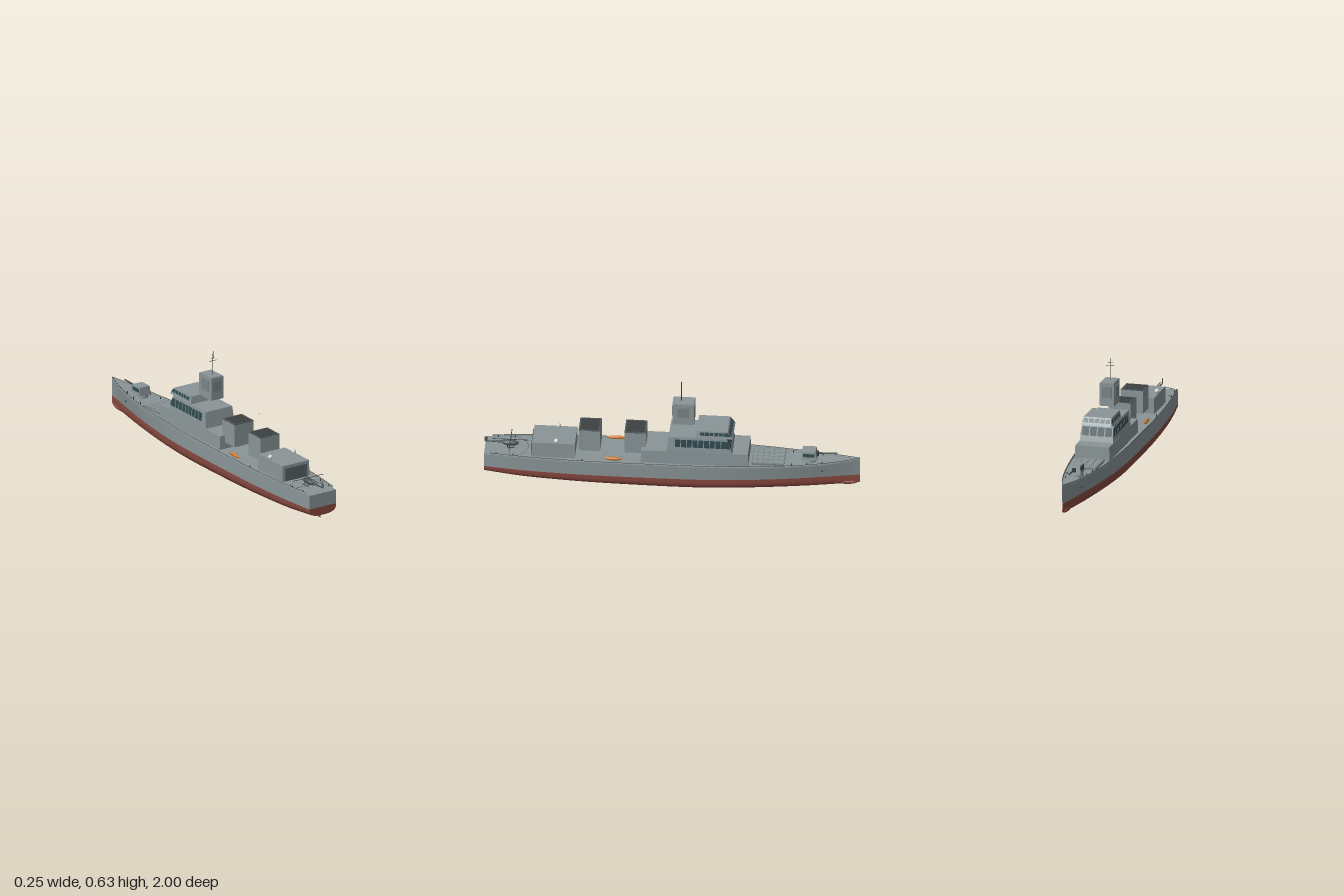
import * as THREE from 'three';

const paint = (color, side = THREE.FrontSide) => new THREE.MeshStandardMaterial({ color, side });
const GREY = paint(0x8a9597), HULL = paint(0x8a9597, THREE.DoubleSide), RED = paint(0x8a4a40, THREE.DoubleSide);
const DARK = paint(0x3c4142), GLASS = paint(0x2f4a4f), PANEL = paint(0x7a8486), DOOR = paint(0x566466);
const ORANGE = paint(0xc87a30), WHITE = paint(0xd8d8d2), GUNMETAL = paint(0x4f5658);

// Hull stations from stern to bow: z, deck half width, waterline half width, keel height, deck height
const STATIONS = [
  [0.995, 0.085, 0.085, 0.037, 0.16], [0.8, 0.107, 0.107, 0.02, 0.16], [0.6, 0.12, 0.12, 0.012, 0.16],
  [0.4, 0.126, 0.126, 0.006, 0.16], [0.15, 0.127, 0.127, 0.002, 0.16], [-0.1, 0.125, 0.124, 0, 0.16],
  [-0.3, 0.117, 0.114, 0.003, 0.16], [-0.5, 0.1, 0.092, 0.008, 0.16], [-0.7, 0.073, 0.061, 0.014, 0.163],
  [-0.85, 0.044, 0.031, 0.021, 0.168], [-0.95, 0.018, 0.011, 0.029, 0.174], [-1, 0.003, 0.002, 0.036, 0.178]];
const WATERLINE = 0.083;
const curveOf = (i, j, k) => new THREE.CatmullRomCurve3(
  STATIONS.map((s) => new THREE.Vector3(s[i], s[j], s[k])), false, 'catmullrom');
const planCurve = curveOf(0, 1, 3), sideCurve = curveOf(2, 4, 0);
const SECTIONS = [];
for (let i = 0; i <= 66; i++) {
  const a = planCurve.getPoint(i / 66), b = sideCurve.getPoint(i / 66);
  SECTIONS.push({ z: a.x, deckW: a.y, keel: a.z, waterW: b.x, deck: b.y });
}

// Skin a list of cross-sections, each an array of [x, y, z]
function loft(rows) {
  const n = rows[0].length, index = [];
  for (let i = 0; i < rows.length - 1; i++) {
    for (let j = 0; j < n - 1; j++) {
      const a = i * n + j, b = a + n;
      index.push(a, a + 1, b, a + 1, b + 1, b);
    }
  }
  const g = new THREE.BufferGeometry();
  g.setAttribute('position', new THREE.Float32BufferAttribute(rows.flat(2), 3));
  g.setIndex(index);
  g.computeVertexNormals();
  return g;
}

// Rounded underwater section from one waterline edge to the other
function bottomSection(s) {
  const pts = [];
  for (let k = 0; k <= 28; k++) {
    const a = Math.PI * (k / 28), c = Math.cos(a), e = 2 / 3;
    pts.push([-Math.sign(c) * Math.abs(c) ** e * s.waterW,
      WATERLINE - (WATERLINE - s.keel) * Math.sin(a) ** e, s.z]);
  }
  return pts;
}

export function createModel() {
  const ship = new THREE.Group();
  ship.name = 'warship';
  const add = (name, geo, mat, x = 0, y = 0, z = 0, parent = ship) => {
    const m = new THREE.Mesh(geo, mat);
    m.name = name;
    m.position.set(x, y, z);
    parent.add(m);
    return m;
  };
  const box = (name, mat, w, h, d, x, y, z, parent) => add(name, new THREE.BoxGeometry(w, h, d), mat, x, y, z, parent);
  // Tapered block: bottom and top are [half width, fore z, aft z]
  const block = (name, mat, y0, y1, bottom, top, x = 0) => {
    const g = new THREE.BoxGeometry(2, 2, 2), p = g.attributes.position;
    for (let i = 0; i < p.count; i++) {
      const [hw, fore, aft] = p.getY(i) > 0 ? top : bottom;
      p.setXYZ(i, p.getX(i) * hw, p.getY(i) > 0 ? y1 : y0, p.getZ(i) > 0 ? aft : fore);
    }
    g.computeVertexNormals();
    return add(name, g, mat, x);
  };
  const rod = (name, mat, r, from, to, parent) => {
    const curve = new THREE.LineCurve3(new THREE.Vector3(...from), new THREE.Vector3(...to));
    return add(name, new THREE.TubeGeometry(curve, 1, r, 8), mat, 0, 0, 0, parent);
  };

  // Hull, deck and transom
  add('lowerHull', loft(SECTIONS.map(bottomSection)), RED);
  for (const s of [-1, 1]) {
    const side = SECTIONS.map((c) => [0, 0.33, 0.67, 1].map((t) =>
      [s * (c.waterW + (c.deckW - c.waterW) * t), WATERLINE + (c.deck - WATERLINE) * t, c.z]));
    add('hullSide', loft(s > 0 ? side : side.map((r) => r.reverse())), HULL);
    const rail = SECTIONS.slice(1).map((c) => {
      const inner = Math.max(c.deckW - 0.004, 0);
      return [[s * c.deckW, c.deck - 0.002, c.z], [s * c.deckW, c.deck + 0.009, c.z],
        [s * inner, c.deck + 0.009, c.z], [s * inner, c.deck - 0.002, c.z]];
    });
    add('bulwark', loft(s > 0 ? rail : rail.map((r) => r.reverse())), HULL);
    const cap = SECTIONS.slice(1).map((c) => new THREE.Vector3(s * (c.deckW - 0.002), c.deck + 0.0095, c.z));
    add('bulwarkCap', new THREE.TubeGeometry(new THREE.CatmullRomCurve3(cap), 66, 0.0016, 5), DARK);
  }
  add('deck', loft(SECTIONS.map((c) => [[c.deckW, c.deck, c.z], [-c.deckW, c.deck, c.z]])), HULL);
  const stern = SECTIONS[0];
  add('transomLower', new THREE.ShapeGeometry(new THREE.Shape(
    bottomSection(stern).map((p) => new THREE.Vector2(p[0], p[1])))), RED, 0, 0, stern.z);
  add('transomUpper', new THREE.PlaneGeometry(stern.deckW * 2, stern.deck - WATERLINE), HULL,
    0, (stern.deck + WATERLINE) / 2, stern.z);
  add('bowBulb', new THREE.SphereGeometry(1, 20, 14), RED, 0, 0.036, -0.92).scale.set(0.017, 0.014, 0.068);
  box('rudder', RED, 0.004, 0.025, 0.045, 0, 0.027, 0.95);

  // Main deckhouse and two bridge levels
  block('deckhouse', GREY, 0.158, 0.235, [0.096, -0.412, 0.16], [0.093, -0.41, 0.158]);
  // Each level: base y, top y, base and top outlines, window band y range, band aft end, pane counts
  const levels = [
    { name: 'bridge', y: [0.235, 0.324], b: [0.092, -0.328, 0.022], t: [0.085, -0.296, 0.01], w: [0.265, 0.309], aft: -0.022, sides: 9, front: 4 },
    { name: 'upperBridge', y: [0.324, 0.364], b: [0.083, -0.33, -0.132], t: [0.076, -0.302, -0.138], w: [0.338, 0.356], aft: -0.155, sides: 6, front: 5 }];
  for (const L of levels) {
    block(L.name, GREY, ...L.y, L.b, L.t);
    const at = (y) => L.b.map((v, i) => v + (L.t[i] - v) * (y - L.y[0]) / (L.y[1] - L.y[0]));
    const [lo, hi] = L.w.map(at);
    block(L.name + 'Windows', GLASS, ...L.w, [lo[0] + 0.001, lo[1] - 0.001, L.aft], [hi[0] + 0.001, hi[1] - 0.001, L.aft]);
    for (let i = 1; i < L.sides; i++) {
      const z = L.aft + (hi[1] + 0.004 - L.aft) * i / L.sides;
      block('sideMullion', GREY, ...L.w, [lo[0] + 0.002, z - 0.002, z + 0.002], [hi[0] + 0.002, z - 0.002, z + 0.002]);
    }
    for (let i = 0; i <= L.front; i++) {
      const x = (i / L.front - 0.5) * 2 * (hi[0] - 0.002);
      block('frontMullion', GREY, ...L.w, [0.003, lo[1] - 0.002, lo[1] + 0.01], [0.003, hi[1] - 0.002, hi[1] + 0.01], x);
    }
  }

  // Radar tower and mast
  box('radarTower', GREY, 0.078, 0.125, 0.116, 0, 0.437, -0.062);
  for (const s of [-1, 1]) {
    box('sideArray', PANEL, 0.004, 0.06, 0.06, s * 0.0405, 0.45, -0.062);
    box('endArray', PANEL, 0.05, 0.06, 0.003, 0, 0.45, -0.062 + s * 0.0585);
  }
  box('towerRoof', GREY, 0.07, 0.004, 0.106, 0, 0.5, -0.062);
  rod('mast', DARK, 0.0018, [0, 0.5, -0.05], [0, 0.622, -0.05]);
  rod('lowerYard', DARK, 0.0014, [-0.023, 0.58, -0.05], [0.023, 0.58, -0.05]);
  rod('upperYard', DARK, 0.0012, [-0.015, 0.595, -0.05], [0.015, 0.595, -0.05]);
  rod('whipAerial', DARK, 0.0008, [0.007, 0.59, -0.05], [0.007, 0.635, -0.05]);

  // Exhaust housings with dark tops
  for (const z of [0.192, 0.436]) {
    box('funnel', GREY, 0.122, 0.126, 0.114, 0, 0.259, z);
    box('funnelRim', GUNMETAL, 0.122, 0.004, 0.114, 0, 0.322, z);
    box('funnelGrille', DARK, 0.102, 0.004, 0.096, 0, 0.3235, z);
  }

  // Hangar with door and domes
  block('hangar', GREY, 0.158, 0.247, [0.087, 0.511, 0.742], [0.085, 0.511, 0.738]);
  box('hangarDoor', DOOR, 0.14, 0.072, 0.006, 0, 0.196, 0.741);
  for (const s of [-1, 1]) {
    add('radome', new THREE.SphereGeometry(0.0125, 18, 14), WHITE, s * 0.075, 0.258, 0.61);
    add('lifeboat', new THREE.SphereGeometry(1, 18, 12), ORANGE, s * 0.102, 0.18, 0.305).scale.set(0.01, 0.01, 0.048);
    add('navigationLight', new THREE.SphereGeometry(0.002, 8, 6), DARK, s * 0.112, 0.346, 0.23);
    add('anchor', new THREE.SphereGeometry(0.006, 8, 6), DARK, s * 0.047, 0.125, -0.8);
    for (const z of [-0.8, -0.72, -0.64, 0.47, 0.84, 0.93]) {
      const c = SECTIONS.find((q) => q.z <= z);
      add('bollard', new THREE.CylinderGeometry(0.0025, 0.003, 0.012, 8), DARK, s * (c.deckW - 0.014), c.deck + 0.006, z);
    }
  }

  // Missile cells on the foredeck
  box('launcherBase', PANEL, 0.144, 0.014, 0.176, 0, 0.164, -0.515);
  for (let i = 0; i < 4; i++) {
    for (let j = 0; j < 6; j++) {
      box('launcherHatch', GREY, 0.029, 0.003, 0.024, (i - 1.5) * 0.034, 0.172, -0.515 + (j - 2.5) * 0.028);
    }
  }

  // Foredeck gun
  add('gunBase', new THREE.CylinderGeometry(0.038, 0.042, 0.022, 24), GREY, 0, 0.172, -0.73);
  block('gunTurret', GREY, 0.183, 0.228, [0.036, -0.775, -0.69], [0.031, -0.765, -0.694]);
  block('turretPanel', GLASS, 0.2, 0.218, [0.0355, -0.76, -0.7], [0.0335, -0.76, -0.7]);
  box('gunMantlet', DARK, 0.02, 0.022, 0.012, 0, 0.206, -0.775);
  rod('gunBarrel', DARK, 0.004, [0, 0.206, -0.77], [0, 0.21, -0.88]);

  // Flight deck markings
  for (const [r, a, len] of [[0.095, 0, Math.PI]]) {
    const ring = add('landingCircle', new THREE.RingGeometry(r - 0.002, r, 40, 1, a, len), DARK, 0, 0.1615, 0.86);
    ring.rotation.x = -Math.PI / 2;
  }
  box('landingLine', DARK, 0.19, 0.001, 0.002, 0, 0.161, 0.86);

  // Helicopter
  const heli = new THREE.Group();
  heli.name = 'helicopter';
  ship.add(heli);
  add('fuselage', new THREE.SphereGeometry(1, 20, 14), GUNMETAL, 0, 0.183, 0.86, heli).scale.set(0.016, 0.016, 0.046);
  const boom = add('tailBoom', new THREE.CylinderGeometry(0.003, 0.007, 0.1, 10), GUNMETAL, 0, 0.188, 0.94, heli);
  boom.rotation.x = Math.PI / 2;
  box('tailFin', GUNMETAL, 0.003, 0.028, 0.014, 0, 0.2, 0.991, heli);
  rod('rotorShaft', DARK, 0.003, [0, 0.19, 0.86], [0, 0.205, 0.86], heli);
  box('rotorBladeAcross', DARK, 0.004, 0.0015, 0.19, 0, 0.204, 0.86, heli);
  box('rotorBladeAlong', DARK, 0.19, 0.0015, 0.004, 0, 0.204, 0.86, heli);
  for (const s of [-1, 1]) {
    rod('skid', DARK, 0.002, [s * 0.017, 0.163, 0.83], [s * 0.017, 0.163, 0.89], heli);
    for (const z of [0.845, 0.875]) rod('skidStrut', DARK, 0.0015, [s * 0.017, 0.163, z], [s * 0.009, 0.178, z], heli);
  }
  return ship;
}
